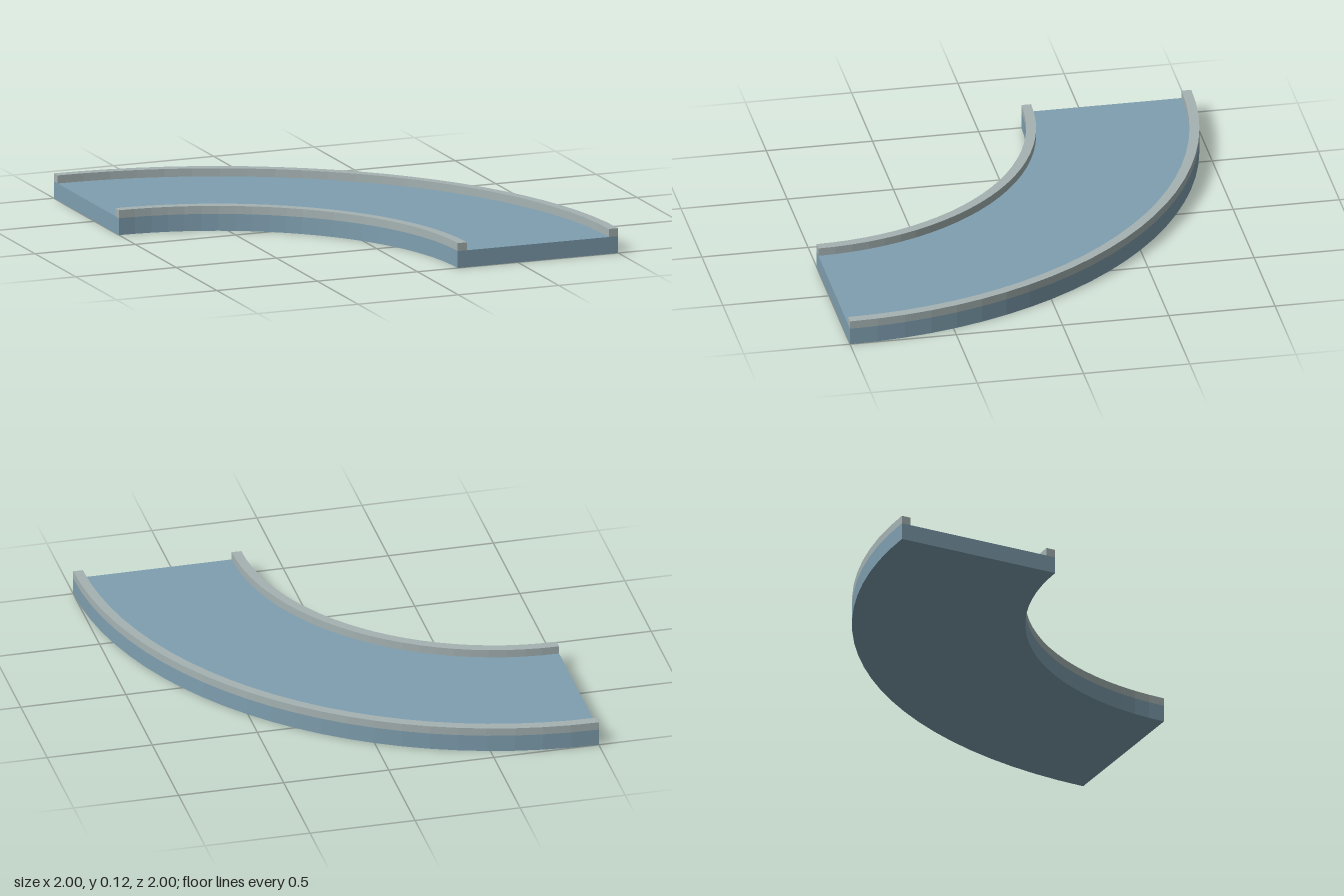
import * as THREE from 'three';

// Quarter ring between two radii, lying flat from y0 to y1
function quarterRing(name, inner, outer, y0, y1, material) {
  const shape = new THREE.Shape();
  shape.absarc(0, 0, outer, 0, Math.PI / 2, false);
  shape.absarc(0, 0, inner, Math.PI / 2, 0, true);
  shape.closePath();
  // 12 curve segments give 24 flat facets per arc
  const geometry = new THREE.ExtrudeGeometry(shape, { depth: y1 - y0, bevelEnabled: false, curveSegments: 12 });
  geometry.rotateX(-Math.PI / 2);
  geometry.translate(-1, y0, 1);
  const mesh = new THREE.Mesh(geometry, material);
  mesh.name = name;
  return mesh;
}

export function createModel() {
  const deckBlue = new THREE.MeshStandardMaterial({ color: 0x7f9fb0 });
  deckBlue.name = 'deckBlue';
  const railGrey = new THREE.MeshStandardMaterial({ color: 0xa6b3b3 });
  railGrey.name = 'railGrey';

  const inner = 1.2, outer = 2, railWidth = 0.046, deckTop = 0.08, railTop = 0.118;
  const model = new THREE.Group();
  model.name = 'curvedTrack';
  model.add(
    // Curved slab
    quarterRing('deck', inner, outer, 0, deckTop, deckBlue),
    // Raised edges along both sides
    quarterRing('innerRail', inner, inner + railWidth, deckTop, railTop, railGrey),
    quarterRing('outerRail', outer - railWidth, outer, deckTop, railTop, railGrey)
  );
  return model;
}
